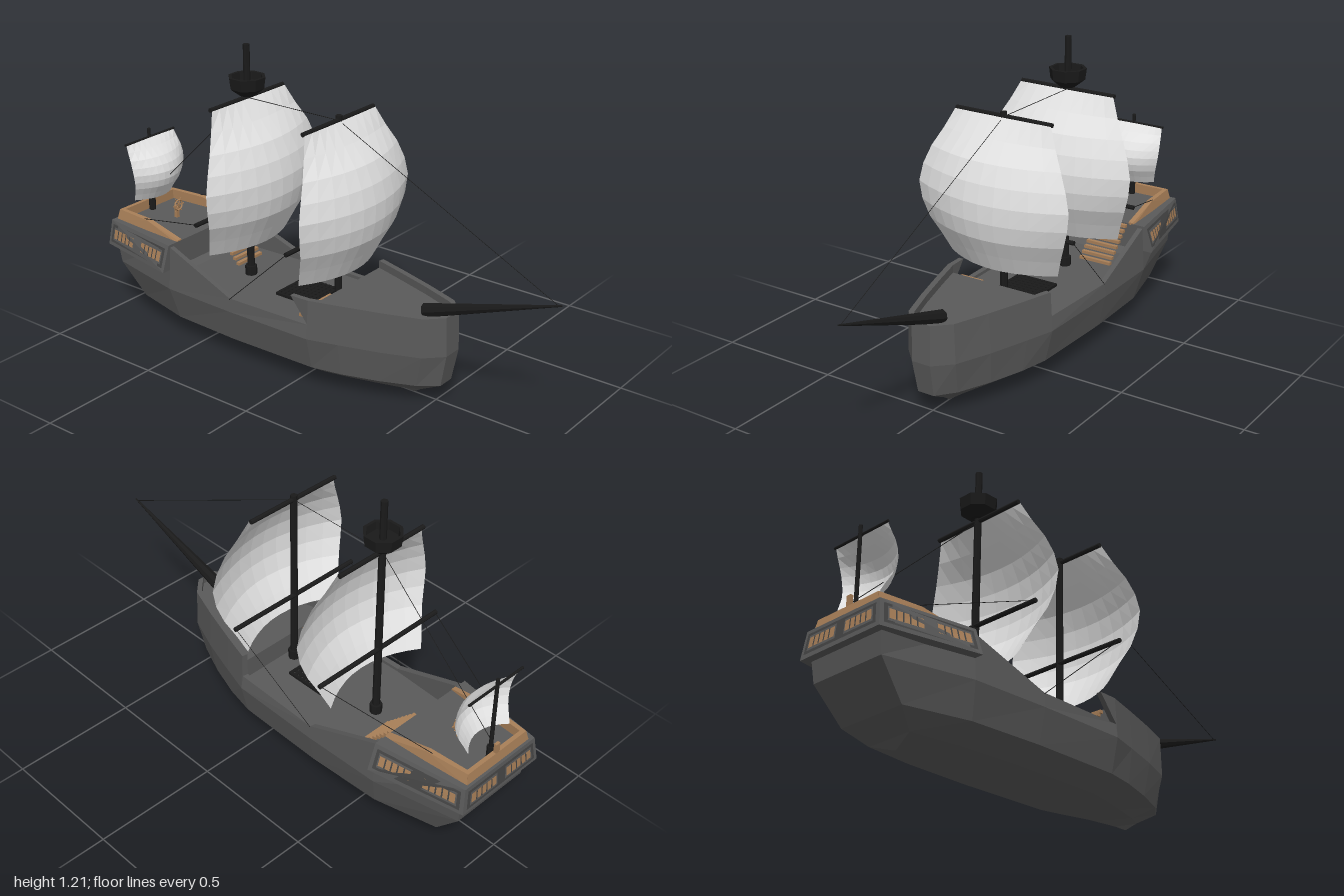
import * as THREE from 'three';
import { ConvexGeometry } from 'three/addons/geometries/ConvexGeometry.js';

const V = (x, y, z) => new THREE.Vector3(x, y, z);

function material(name, color, side = THREE.FrontSide) {
  const m = new THREE.MeshStandardMaterial({ color, flatShading: true, side });
  m.name = name;
  return m;
}

export function createModel() {
  const ship = new THREE.Group();
  ship.name = 'sailingShip';
  const hullGrey = material('hullGrey', 0x5a5a5a, THREE.DoubleSide);
  const frameGrey = material('frameGrey', 0x454545, THREE.DoubleSide);
  const black = material('black', 0x1a1a1a, THREE.DoubleSide);
  const wood = material('wood', 0xa87f58, THREE.DoubleSide);
  const cloth = material('sailCloth', 0xe2e2e2, THREE.DoubleSide);

  const add = (name, geo, mat, parent = ship) => {
    const mesh = new THREE.Mesh(geo, mat);
    mesh.name = name;
    parent.add(mesh);
    return mesh;
  };
  const box = (name, mat, w, h, d, x, y, z, parent) => {
    const mesh = add(name, new THREE.BoxGeometry(w, h, d), mat, parent);
    mesh.position.set(x, y, z);
    return mesh;
  };
  // Round bar from a to b
  const bar = (name, mat, a, b, r0, r1 = r0, sides = 8) => {
    const mesh = add(name, new THREE.CylinderGeometry(r1, r0, a.distanceTo(b), sides), mat);
    mesh.position.copy(a).lerp(b, 0.5);
    mesh.quaternion.setFromUnitVectors(V(0, 1, 0), b.clone().sub(a).normalize());
    return mesh;
  };
  // Solid from a list of corner points
  const solid = (name, mat, pts) => add(name, new ConvexGeometry(pts.map((p) => V(...p))), mat);

  function meshFrom(pos, index) {
    const g = new THREE.BufferGeometry();
    g.setAttribute('position', new THREE.Float32BufferAttribute(pos, 3));
    g.setIndex(index);
    const flat = g.toNonIndexed();
    flat.computeVertexNormals();
    return flat;
  }

  // Hull stations, bow to stern: z and half-width at top, middle, low, bilge; keel z; rail y; deck y
  const stations = [
    [[0.56, 0.565, 0.54, 0.44], [0.04, 0.04, 0.035, 0.02], 0.40, 0.375, 0.345],
    [[0.50, 0.50, 0.47, 0.38], [0.10, 0.105, 0.09, 0.05], 0.34, 0.375, 0.345],
    [[0.36, 0.36, 0.34, 0.28], [0.15, 0.16, 0.145, 0.08], 0.25, 0.375, 0.345],
    [[0.20, 0.20, 0.20, 0.17], [0.20, 0.21, 0.19, 0.11], 0.15, 0.375, 0.345],
    [[0.08, 0.08, 0.08, 0.08], [0.235, 0.245, 0.215, 0.13], 0.08, 0.375, 0.345],
    [[0.08, 0.08, 0.08, 0.08], [0.235, 0.245, 0.215, 0.13], 0.08, 0.275, 0.262],
    [[-0.30, -0.30, -0.30, -0.30], [0.245, 0.25, 0.222, 0.135], -0.30, 0.275, 0.262],
    [[-0.62, -0.62, -0.60, -0.58], [0.23, 0.243, 0.21, 0.125], -0.58, 0.395, 0.262],
    [[-0.98, -0.96, -0.85, -0.77], [0.185, 0.17, 0.15, 0.10], -0.74, 0.39, 0.38],
  ];
  const pos = [], index = [], n = 13;
  for (const [z, x, keelZ, rail, deck] of stations) {
    const rim = Math.max(x[0] - 0.022, 0.015);
    const half = [[x[3], 0.035, z[3]], [x[2], 0.09, z[2]], [x[1], 0.22, z[1]], [x[0], rail, z[0]],
      [rim, rail, z[0] - 0.004], [rim, deck, z[0] - 0.004]];
    pos.push(0, 0.004, keelZ, ...half.flat());
    for (const p of half.slice().reverse()) pos.push(-p[0], p[1], p[2]);
  }
  for (let i = 0; i < stations.length - 1; i++) for (let j = 0; j < n; j++) {
    const a = i * n + j, b = i * n + (j + 1) % n;
    index.push(a, a + n, b + n, a, b + n, b);
  }
  const last = (stations.length - 1) * n;
  for (let j = 0; j < 4; j++) {
    const a = j, b = j + 1, c = n - j - 1, d = (n - j) % n;
    index.push(a, b, c, a, c, d, last + a, last + c, last + b, last + a, last + d, last + c);
  }
  add('hull', meshFrom(pos, index), hullGrey);
  // Pointed rail end beside the forward steps
  solid('foreRailEnd', hullGrey, [[-0.236, 0.375, 0.08], [-0.214, 0.375, 0.08], [-0.238, 0.375, 0],
    [-0.218, 0.375, 0], [-0.238, 0.275, 0.08], [-0.216, 0.275, 0.08]]);

  // Stern cabin with sloped walls
  const lower = [[0.275, 0.30, -0.62], [0.2, 0.30, -1], [-0.2, 0.30, -1], [-0.275, 0.30, -0.62]];
  const upper = [[0.238, 0.405, -0.62], [0.185, 0.405, -0.99], [-0.185, 0.405, -0.99], [-0.238, 0.405, -0.62]];
  solid('sternCabin', hullGrey, [...lower, ...upper]);
  // Thin plate on a cabin wall, in wall coordinates 0..1
  const plate = (name, mat, w, u0, u1, v0, v1, off) => {
    const [a, b, c, d] = [lower[w], lower[w + 1], upper[w + 1], upper[w]].map((p) => V(...p));
    const normal = b.clone().sub(a).cross(d.clone().sub(a)).normalize();
    const at = (u, v) => a.clone().lerp(b, u).lerp(d.clone().lerp(c, u), v).addScaledVector(normal, off).toArray();
    add(name, meshFrom([at(u0, v0), at(u1, v0), at(u1, v1), at(u0, v1)].flat(), [0, 1, 2, 0, 2, 3]), mat);
  };
  for (let w = 0; w < 3; w++) {
    plate('cabinPanel', frameGrey, w, 0.04, 0.96, 0.14, 0.86, 0.002);
    for (const u of [0.09, 0.57]) {
      plate('windowFrame', hullGrey, w, u - 0.015, u + 0.355, 0.24, 0.76, 0.003);
      plate('window', wood, w, u, u + 0.34, 0.32, 0.68, 0.004);
      for (let k = 1; k < 5; k++) {
        plate('windowBar', frameGrey, w, u + k * 0.068 - 0.008, u + k * 0.068 + 0.008, 0.32, 0.68, 0.005);
      }
    }
  }

  // Poop rail
  for (const s of [-1, 1]) {
    solid('poopRail', wood, [[s * 0.19, 0.40, -0.62], [s * 0.165, 0.40, -0.62], [s * 0.185, 0.41, -0.62],
      [s * 0.165, 0.41, -0.62], [s * 0.172, 0.445, -0.8], [s * 0.15, 0.445, -0.8], [s * 0.18, 0.40, -0.8],
      [s * 0.15, 0.40, -0.8], [s * 0.155, 0.445, -0.97], [s * 0.138, 0.445, -0.97], [s * 0.165, 0.40, -0.98],
      [s * 0.138, 0.40, -0.98]]);
  }
  solid('sternRail', wood, [[-0.165, 0.40, -0.98], [0.165, 0.40, -0.98], [-0.155, 0.445, -0.972],
    [0.155, 0.445, -0.972], [-0.145, 0.40, -0.955], [0.145, 0.40, -0.955], [-0.145, 0.445, -0.955], [0.145, 0.445, -0.955]]);
  box('sternPost', wood, 0.02, 0.06, 0.012, 0, 0.455, -0.966);

  // Steering wheel
  box('wheelStand', wood, 0.015, 0.05, 0.015, 0, 0.43, -0.80);
  const wheel = add('wheel', new THREE.TorusGeometry(0.022, 0.004, 4, 10), wood);
  wheel.position.set(0, 0.46, -0.79);
  for (let k = 0; k < 3; k++) {
    box('spoke', wood, 0.062, 0.004, 0.004, 0, 0.46, -0.79).rotation.z = k * Math.PI / 3;
  }

  // Steps to the poop and the foredeck
  for (let k = 0; k < 8; k++) {
    const h = 0.14 * (8 - k) / 8;
    box('poopStep', wood, 0.14, 0.012, 0.016, 0.09, 0.26 + h - 0.006, -0.611 + k * 0.0175);
  }
  for (let k = 0; k < 5; k++) {
    box('foreStep', wood, 0.1, 0.012, 0.018, -0.13, 0.335 - k * 0.016, 0.07 - k * 0.017);
  }

  // Hatch grating
  const hatch = new THREE.Group();
  hatch.name = 'hatch';
  ship.add(hatch);
  box('hatchBase', frameGrey, 0.17, 0.006, 0.16, 0, 0.265, -0.11, hatch);
  for (let k = -4; k <= 4; k++) {
    box('gratingBar', black, 0.012, 0.01, 0.17, k * 0.021, 0.268, -0.11, hatch);
    box('gratingBar', black, 0.18, 0.01, 0.012, 0, 0.269, -0.11 + k * 0.02, hatch);
  }

  // Sail: half-width and belly depth follow curves down its height
  function sail(name, z, yTop, yBottom, widths, edges, bellies) {
    const curve = (a) => new THREE.SplineCurve(a.map((v, i) => new THREE.Vector2(i, v)));
    const [w, e, b] = [widths, edges, bellies].map(curve);
    const g = new THREE.PlaneGeometry(2, 1, 10, 8);
    const p = g.attributes.position;
    for (let i = 0; i < p.count; i++) {
      const u = p.getX(i), t = 0.5 - p.getY(i);
      const edge = e.getPoint(t).y, belly = b.getPoint(t).y;
      p.setXYZ(i, u * w.getPoint(t).y, yTop + (yBottom - yTop) * t, z + edge + (belly - edge) * (1 - u * u));
    }
    g.computeVertexNormals();
    add(name, g, cloth);
  }
  const widths = [0.21, 0.285, 0.332, 0.3, 0.24];
  for (const [name, z, top] of [['fore', 0.04, 1.02], ['main', -0.4, 1.21]]) {
    bar(name + 'Mast', black, V(0, 0.25, z), V(0, top, z), 0.015, 0.013);
    bar(name + 'MastFoot', black, V(0, 0.255, z), V(0, 0.30, z), 0.024);
    bar(name + 'TopYard', black, V(-0.21, 1.002, z), V(0.21, 1.002, z), 0.009);
    bar(name + 'LowerYard', black, V(-0.305, 0.57, z - 0.005), V(0.305, 0.57, z - 0.005), 0.009);
    sail(name + 'Sail', z, 1, 0.425, widths, [0.01, 0.06, 0.08, 0.06, 0.0], [0.012, 0.125, 0.172, 0.155, 0.08]);
  }
  bar('mizzenMast', black, V(0, 0.4, -0.94), V(0, 0.76, -0.94), 0.008, 0.007);
  bar('mizzenMastFoot', black, V(0, 0.4, -0.94), V(0, 0.455, -0.94), 0.014);
  bar('mizzenYard', black, V(-0.14, 0.725, -0.936), V(0.14, 0.725, -0.936), 0.005);
  sail('mizzenSail', -0.94, 0.725, 0.48, [0.135, 0.145, 0.145, 0.13, 0.11],
    [0.005, 0.035, 0.05, 0.04, 0.01], [0.006, 0.08, 0.112, 0.1, 0.06]);

  // Lookout basket
  const profile = [[0.013, 1.01], [0.03, 1.01], [0.068, 1.04], [0.074, 1.085], [0.062, 1.085], [0.058, 1.055], [0.013, 1.055]];
  const nest = add('lookoutBasket', new THREE.LatheGeometry(profile.map((p) => new THREE.Vector2(...p)), 8, Math.PI / 8), black);
  nest.position.z = -0.4;

  // Bowsprit
  bar('bowsprit', black, V(0, 0.355, 0.44), V(0, 0.54, 0.995), 0.028, 0.003);

  // Ropes
  const rope = (a, b) => bar('rope', black, V(...a), V(...b), 0.0014, 0.0014, 4);
  rope([0, 0.535, 0.985], [0, 1, 0.04]);
  rope([0, 1, 0.04], [0, 1, -0.4]);
  rope([0, 1, -0.4], [0, 0.46, -0.96]);
  for (const s of [-1, 1]) {
    rope([s * 0.3, 0.57, 0.035], [s * 0.245, 0.27, -0.3]);
    rope([s * 0.3, 0.57, -0.405], [s * 0.165, 0.445, -0.82]);
  }
  return ship;
}
